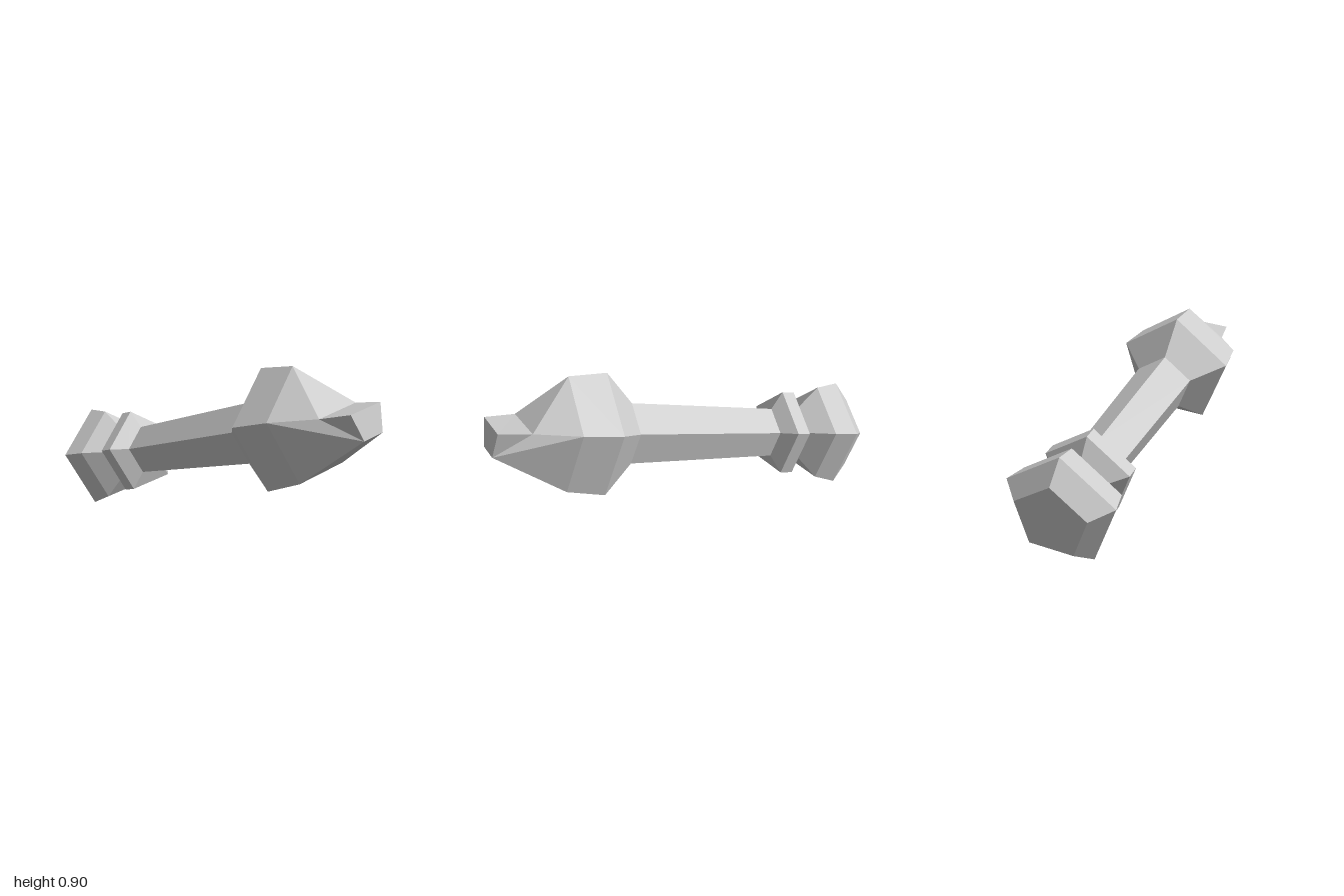
import * as THREE from 'three';

const SIDES = 5;
const ROLL = THREE.MathUtils.degToRad(8);

// Tilted axis of the tool, and the two directions across it
const axis = new THREE.Vector3(-0.028, 0.258, 1).normalize();
const across = new THREE.Vector3(0, 1, 0).cross(axis).normalize();
const up = axis.clone().cross(across);

// Pentagon around the axis: top, left (-x), bottom left, bottom right, right (+x)
function ring([z, radius]) {
  const centre = new THREE.Vector3(0.009 - 0.028 * z, 0.471 + 0.258 * z, z);
  return Array.from({ length: SIDES }, (_, i) => {
    const a = ROLL + (i / SIDES) * Math.PI * 2;
    return centre.clone()
      .addScaledVector(across, -Math.sin(a) * radius)
      .addScaledVector(up, Math.cos(a) * radius);
  });
}

// Faces that join a row of pentagons, listed from back to front
function loft(sections) {
  const rings = sections.map(ring);
  const faces = [];
  for (let s = 0; s + 1 < rings.length; s++) {
    for (let i = 0; i < SIDES; i++) {
      const j = (i + 1) % SIDES;
      faces.push([rings[s][i], rings[s][j], rings[s + 1][j], rings[s + 1][i]]);
    }
  }
  return faces;
}

// Flat-faced mesh from convex polygons
function facetMesh(name, faces, material) {
  const points = [];
  for (const f of faces) {
    for (let i = 1; i + 1 < f.length; i++) points.push(f[0], f[i], f[i + 1]);
  }
  const geometry = new THREE.BufferGeometry().setFromPoints(points);
  geometry.computeVertexNormals();
  const mesh = new THREE.Mesh(geometry, material);
  mesh.name = name;
  return mesh;
}

export function createModel() {
  const grey = new THREE.MeshStandardMaterial({ color: 0xcccccc });
  grey.name = 'light grey';
  const group = new THREE.Group();
  group.name = 'facetedHandle';

  // Section values: position along z, radius
  const shaftBack = [-0.488, 0.13], shaftFront = [0.307, 0.155];
  const neck = [-0.658, 0.145];
  const pommelEnd = [-0.954, 0.186], headFront = [0.644, 0.285];

  // Pommel, closed at the back
  const pommel = loft([pommelEnd, [-0.86, 0.28], [-0.747, 0.253], neck]);
  pommel.push(ring(pommelEnd).reverse());
  group.add(facetMesh('pommel', pommel, grey));

  // Collar and shaft
  group.add(facetMesh('collar', loft([neck, [-0.604, 0.224], [-0.535, 0.224], shaftBack]), grey));
  group.add(facetMesh('shaft', loft([shaftBack, shaftFront]), grey));

  // Head, tapering forward to the beak
  const v = (x, y, z) => new THREE.Vector3(x, y, z);
  const [top, left, lowL, lowR, right] = ring(headFront);
  const rootL = v(-0.16, 0.71, 0.815), rootR = v(0.113, 0.75, 0.815);
  const tipL = v(-0.14, 0.745, 0.967), tipR = v(0.083, 0.775, 0.967);
  const chinL = v(-0.08, 0.625, 1), chinR = v(0.06, 0.645, 1);
  const head = loft([shaftFront, [0.458, 0.307], headFront]);
  head.push(
    [top, rootL, rootR],
    [top, left, rootL], [top, rootR, right],
    [left, chinL, rootL], [right, rootR, chinR],
    [left, lowL, chinL], [right, chinR, lowR],
    [lowL, lowR, chinR, chinL],
  );
  group.add(facetMesh('head', head, grey));

  // Blunt raised beak at the front
  group.add(facetMesh('beak', [
    [tipL, chinL, chinR, tipR],
    [rootL, chinL, tipL], [rootR, tipR, chinR],
    [rootL, tipL, tipR, rootR],
  ], grey));

  return group;
}
